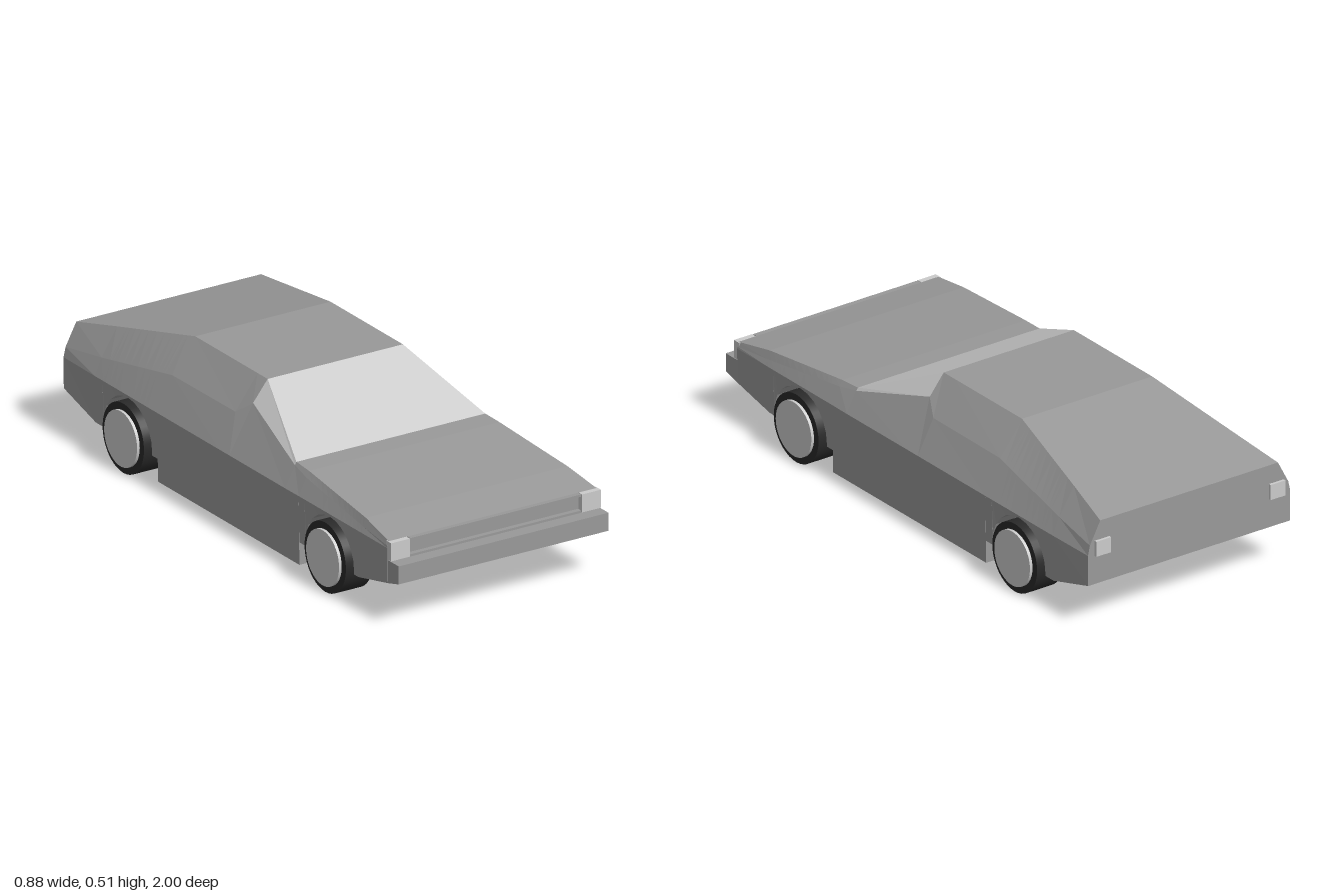
import * as THREE from 'three';

const paint = new THREE.MeshStandardMaterial({ color: 0x999999, flatShading: true });
const pale = new THREE.MeshStandardMaterial({ color: 0xcccccc, flatShading: true });
const rubber = new THREE.MeshStandardMaterial({ color: 0x2a2a2a });
const metal = new THREE.MeshStandardMaterial({ color: 0xcccccc });

const WHEELS_Z = [0.59, -0.61];
const WHEEL_Y = 0.125;

// Upper half-sections, front to back: z, then x,y of belt, shoulder and top edge
const UPPER = [
  [0.935, 0.413, 0.275, 0.412, 0.282, 0.407, 0.298],
  [0.78, 0.413, 0.275, 0.405, 0.295, 0.395, 0.324],
  [0.41, 0.414, 0.275, 0.385, 0.335, 0.373, 0.355],
  [0.33, 0.415, 0.275, 0.376, 0.348, 0.370, 0.358],
  [0.0, 0.415, 0.275, 0.322, 0.440, 0.265, 0.512],
  [-0.06, 0.415, 0.275, 0.352, 0.395, 0.265, 0.512],
  [-0.43, 0.415, 0.275, 0.355, 0.395, 0.265, 0.512],
  [-0.8, 0.414, 0.275, 0.388, 0.335, 0.328, 0.432],
  [-0.99, 0.412, 0.275, 0.404, 0.310, 0.362, 0.390],
];

// Linear interpolation of table rows keyed by descending z
function sample(rows, z) {
  let i = 0;
  while (i < rows.length - 2 && rows[i + 1][0] > z) i++;
  const a = rows[i], b = rows[i + 1];
  const t = a[0] === b[0] ? 0 : (a[0] - z) / (a[0] - b[0]);
  return a.map((v, k) => v + (b[k] - v) * t);
}

// Underside outline with the two wheel arches and the deep floor pan
function underside() {
  const arch = (zc) => Array.from({ length: 13 }, (_, i) => {
    const a = (Math.PI * i) / 12;
    return [zc + 0.145 * Math.cos(a), 0.12 + 0.145 * Math.sin(a)];
  });
  const step = (zc, end) => [[zc + 0.145, 0.11], ...arch(zc), [zc - 0.145, 0.11], ...end];
  return [
    [0.935, 0.15], [0.76, 0.11],
    ...step(WHEELS_Z[0], [[0.41, 0.11], [0.41, 0.03], [-0.43, 0.03], [-0.43, 0.11]]),
    ...step(WHEELS_Z[1], [[-0.8, 0.11], [-0.99, 0.165]]),
  ];
}

// Full closed ring from one half-section
function ring(z, half) {
  const right = half.map(([x, y]) => [x, y, z]);
  return [...right, ...right.map(([x, y]) => [-x, y, z]).reverse()];
}

// Skin rings running front to back; pick(z0, z1, column) sends a panel to the second list
function loft(rings, pick = () => false) {
  const main = [], second = [];
  const n = rings[0].length;
  for (let s = 0; s < rings.length - 1; s++) {
    const a = rings[s], b = rings[s + 1];
    for (let i = 0; i < n; i++) {
      const j = (i + 1) % n;
      const out = pick(a[0][2], b[0][2], i) ? second : main;
      out.push(...a[i], ...b[i], ...a[j], ...b[i], ...b[j], ...a[j]);
    }
  }
  const first = rings[0], last = rings[rings.length - 1];
  for (let i = 1; i < n - 1; i++) {
    main.push(...first[0], ...first[i], ...first[i + 1]);
    main.push(...last[0], ...last[i + 1], ...last[i]);
  }
  return [main, second].map((list) => {
    const g = new THREE.BufferGeometry();
    g.setAttribute('position', new THREE.Float32BufferAttribute(list, 3));
    g.computeVertexNormals();
    return g;
  });
}

export function createModel() {
  const car = new THREE.Group();
  car.name = 'car';

  const add = (name, geometry, material, x = 0, y = 0, z = 0, parent = car) => {
    const mesh = new THREE.Mesh(geometry, material);
    mesh.name = name;
    mesh.position.set(x, y, z);
    parent.add(mesh);
    return mesh;
  };
  const box = (name, w, h, d, material, x, y, z) =>
    add(name, new THREE.BoxGeometry(w, h, d), material, x, y, z);

  // Body shell, with the windscreen panels split off
  const under = underside();
  const stations = [...under];
  for (const [z] of UPPER) {
    if (!under.some((p) => Math.abs(p[0] - z) < 1e-6)) stations.push(sample(under, z));
  }
  stations.sort((a, b) => b[0] - a[0]);
  const rings = stations.map(([z, yb]) => {
    const u = sample(UPPER, z);
    return ring(z, [[0.411, yb], [u[1], u[2]], [u[3], u[4]], [u[5], u[6]]]);
  });
  const isGlass = (z0, z1, i) => z0 < 0.331 && z1 > -0.001 && i >= 2 && i <= 4;
  const [shell, glass] = loft(rings, isGlass);
  add('bodyShell', shell, paint);
  add('windscreen', glass, pale);

  // Front bumper with sloping underside
  const bumper = [[1.0, 0.168], [0.935, 0.15]].map(([z, y]) =>
    ring(z, [[0.411, y], [0.411, 0.232]]));
  add('frontBumper', loft(bumper)[0], paint);

  // Grille surround and lamps
  box('grilleTopLip', 0.67, 0.008, 0.02, paint, 0, 0.294, 0.943);
  box('grilleBottomLip', 0.67, 0.008, 0.02, paint, 0, 0.237, 0.943);
  for (const side of [1, -1]) {
    box('headlight', 0.074, 0.064, 0.03, pale, side * 0.374, 0.266, 0.94);
    box('tailLight', 0.06, 0.055, 0.02, pale, side * 0.355, 0.295, -0.99);
  }

  // Wheels: tyre, proud hub disc
  const tyre = new THREE.CylinderGeometry(0.123, 0.123, 0.105, 40).rotateZ(Math.PI / 2);
  const hub = new THREE.CylinderGeometry(0.098, 0.098, 0.03, 40).rotateZ(Math.PI / 2);
  for (const z of WHEELS_Z) {
    for (const side of [1, -1]) {
      const wheel = new THREE.Group();
      wheel.name = (z > 0 ? 'front' : 'rear') + (side > 0 ? 'Left' : 'Right') + 'Wheel';
      wheel.position.set(side * 0.376, WHEEL_Y, z);
      add('tyre', tyre, rubber, 0, 0, 0, wheel);
      add('hub', hub, metal, side * 0.048, 0, 0, wheel);
      car.add(wheel);
    }
  }
  return car;
}
